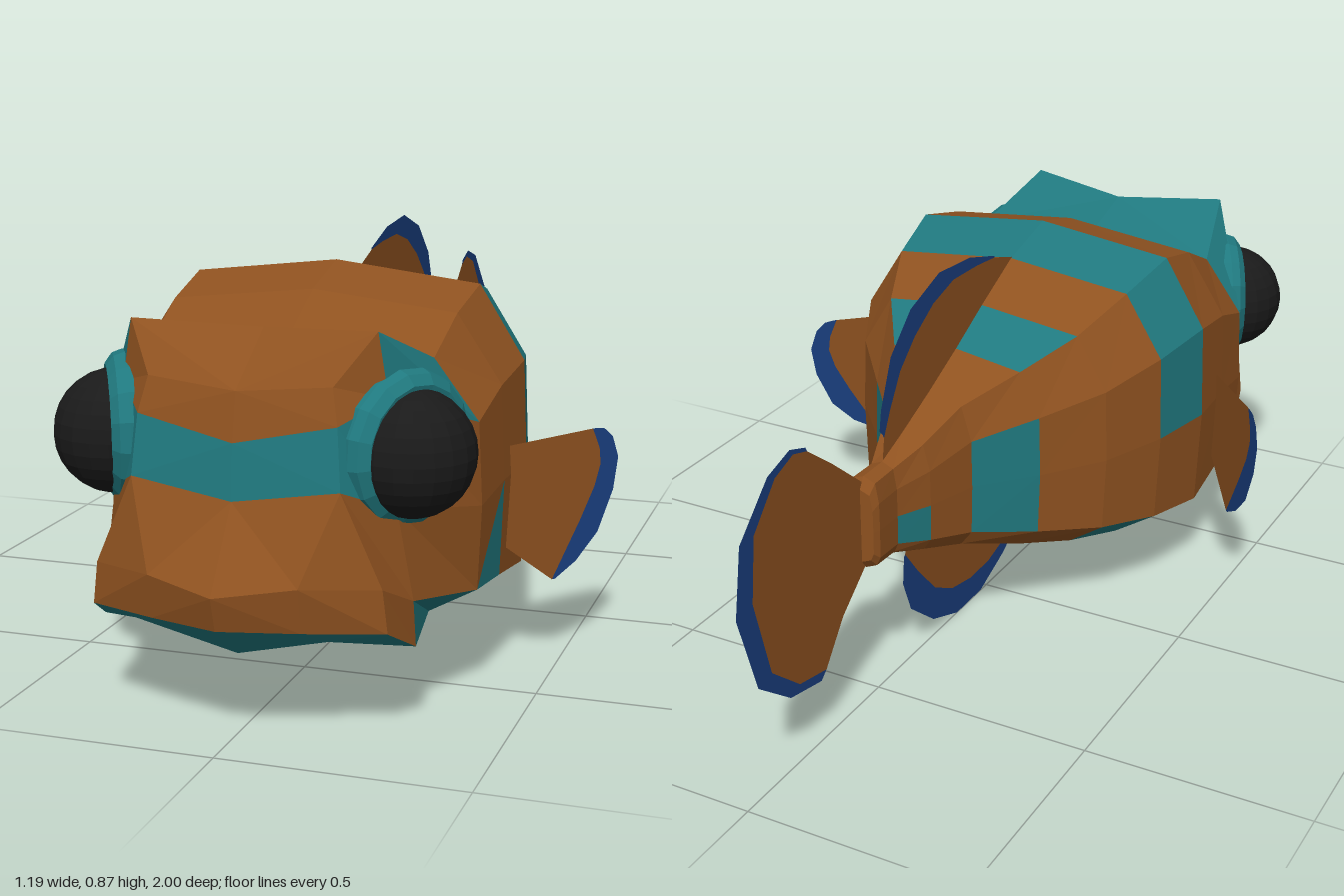
import * as THREE from 'three';

const paint = (color) => new THREE.MeshStandardMaterial({ color, flatShading: true, side: THREE.DoubleSide });

// Half cross-section of the body on the +x side, running from back to belly
function section(z, width, top, bottom) {
  const across = [0, .75, .98, 1, .98, .73, 0];
  const down = [0, .05, .26, .55, .85, .945, 1];
  return across.map((a, i) => [a * width, top + (bottom - top) * down[i], z]);
}

export function createModel() {
  const model = new THREE.Group();
  const brown = paint(0x8f5220), teal = paint(0x20797f), blue = paint(0x1a3f80), black = paint(0x1a1a1a);

  function add(name, geometry, material, parent = model) {
    const mesh = new THREE.Mesh(geometry, material);
    mesh.name = name;
    parent.add(mesh);
    return mesh;
  }

  // Head: rim of the face and crown, both from back to belly
  const faceRim = [[0, .675, .86], [.185, .69, .84], [.2, .62, .86], [.21, .5, .875],
    [.29, .32, .87], [.3, .235, .87], [0, .165, .87]];
  const crown = [[0, .77, .71], [.25, .785, .77], [.27, .66, .77], [.29, .45, .78],
    [.32, .27, .77], [.325, .18, .77], [0, .16, .77]];

  // Trunk and tail root: z, half width, top, bottom
  const trunk = [
    [.57, .4, .73, .15], [.43, .41, .8, .125], [.28, .42, .84, .1], [.12, .385, .8, .13],
    [-.02, .315, .735, .165], [-.14, .21, .675, .2], [-.26, .105, .62, .245], [-.38, .07, .57, .29],
    [-.46, .035, .54, .32], [-.535, .037, .54, .325], [-.55, .03, .515, .345],
  ].map((s) => section(...s));
  const rings = [faceRim, crown, ...trunk];

  // Rows painted teal in each band of the body
  const stripes = { 0: [2, 5], 1: [0, 1, 4], 2: [4, 5], 4: [0, 1, 2], 5: [4, 5], 6: [0], 7: [2, 3], 9: [3] };

  // Each face is added together with its mirror image
  const skin = { brown: [], teal: [] };
  function face(color, ...pts) {
    const flip = ([x, y, z]) => [-x, y, z];
    for (let i = 1; i < pts.length - 1; i++) {
      const [a, b, c] = [pts[0], pts[i], pts[i + 1]];
      skin[color].push(...a, ...b, ...c, ...flip(a), ...flip(c), ...flip(b));
    }
  }
  for (let k = 0; k < rings.length - 1; k++) {
    for (let j = 0; j < 6; j++) {
      const a = rings[k][j], b = rings[k][j + 1], c = rings[k + 1][j + 1], d = rings[k + 1][j];
      if (k === 2 && j === 3) { // slanted front end of the cheek stripe
        face('teal', b, c, d);
        face('brown', a, b, d);
      } else {
        face(stripes[k]?.includes(j) ? 'teal' : 'brown', a, b, c, d);
      }
    }
  }
  face('brown', ...rings[rings.length - 1]);

  // Face, snout and chin
  const [p0, p1, p2, p3, p4, p5, p6] = faceRim;
  const brow = [0, .58, .88], nose = [0, .47, .89];
  const lip = [0, .315, 1], lipSide = [.15, .33, .945];
  const jaw = [0, .245, .98], jawSide = [.15, .24, .93];
  face('brown', p0, brow, p2, p1);
  face('teal', brow, nose, p3, p2);
  face('brown', nose, lip, lipSide, p3);
  face('brown', p3, lipSide, p4);
  face('brown', lip, jaw, jawSide, lipSide);
  face('brown', lipSide, jawSide, p5, p4);
  face('teal', jaw, p6, p5, jawSide);

  const body = new THREE.Group();
  body.name = 'body';
  model.add(body);
  for (const [name, points, material] of [['bodySkin', skin.brown, brown], ['bodyStripes', skin.teal, teal]]) {
    const geometry = new THREE.BufferGeometry();
    geometry.setAttribute('position', new THREE.Float32BufferAttribute(points, 3));
    geometry.computeVertexNormals();
    add(name, geometry, material, body);
  }

  // Eyes in raised sockets, turned outward and a little forward
  const socketProfile = [[.155, -.08], [.155, 0], [.148, .02], [.128, .035], [.1, .03]]
    .map(([r, y]) => new THREE.Vector2(r, y));
  const up = new THREE.Vector3(0, 1, 0);
  for (const side of [1, -1]) {
    const label = side > 0 ? 'left' : 'right';
    const socket = add(label + 'EyeSocket', new THREE.LatheGeometry(socketProfile, 16), teal);
    socket.position.set(side * .292, .555, .722);
    socket.quaternion.setFromUnitVectors(up, new THREE.Vector3(side * .87, 0, .49).normalize());
    const eye = add(label + 'Eye', new THREE.SphereGeometry(.125, 20, 14), black);
    eye.position.set(side * .305, .55, .733);
  }

  // Thin fins: a brown web from the root to an inner curve, a blue edge from there to an outer curve
  const curve = (pts) => new THREE.SplineCurve(pts.map((p) => new THREE.Vector2(...p))).getPoints(7);
  function fin(name, root, innerPts, outerPts, place) {
    const group = new THREE.Group();
    group.name = name;
    model.add(group);
    const inner = curve(innerPts), outer = curve(outerPts);
    const sheet = (part, outline, material) => {
      const geometry = new THREE.ShapeGeometry(new THREE.Shape(outline));
      const pos = geometry.attributes.position;
      for (let i = 0; i < pos.count; i++) pos.setXYZ(i, ...place(pos.getX(i), pos.getY(i)));
      geometry.computeVertexNormals();
      add(part, geometry, material, group);
    };
    sheet(name + 'Web', [...inner, ...root.map((p) => new THREE.Vector2(...p))], brown);
    sheet(name + 'Edge', [...outer, ...inner.reverse()], blue);
  }
  const midline = (z, y) => [0, y, z];

  fin('dorsalFin',
    [[-.46, .52], [-.3, .56], [.12, .76], [.13, .8]],
    [[.04, .828], [-.18, .835], [-.36, .735], [-.45, .59]],
    [[.04, .832], [-.18, .88], [-.38, .805], [-.465, .64], [-.455, .6]],
    midline);

  fin('analFin',
    [[-.36, .31], [-.2, .26], [.15, .15]],
    [[.18, .115], [-.02, .062], [-.22, .105], [-.375, .275]],
    [[.18, .11], [0, .01], [-.2, .018], [-.37, .145], [-.38, .27]],
    midline);

  fin('tailFin',
    [[-.63, .255], [-.53, .335], [-.53, .52], [-.65, .62]],
    [[-.735, .685], [-.83, .69], [-.945, .53], [-.875, .235], [-.7, .165]],
    [[-.74, .695], [-.85, .705], [-1, .525], [-.92, .225], [-.72, .148]],
    midline);

  // Side fins sweep outward and back
  for (const side of [1, -1]) {
    fin(side > 0 ? 'leftSideFin' : 'rightSideFin',
      [[.41, .27], [.38, .3], [.38, .49], [.41, .49]],
      [[.55, .5], [.562, .4], [.485, .185]],
      [[.555, .5], [.582, .485], [.595, .4], [.555, .255], [.49, .185]],
      (x, y) => [side * x, y, .39 - (x - .41) * 1.14]);
  }
  return model;
}
